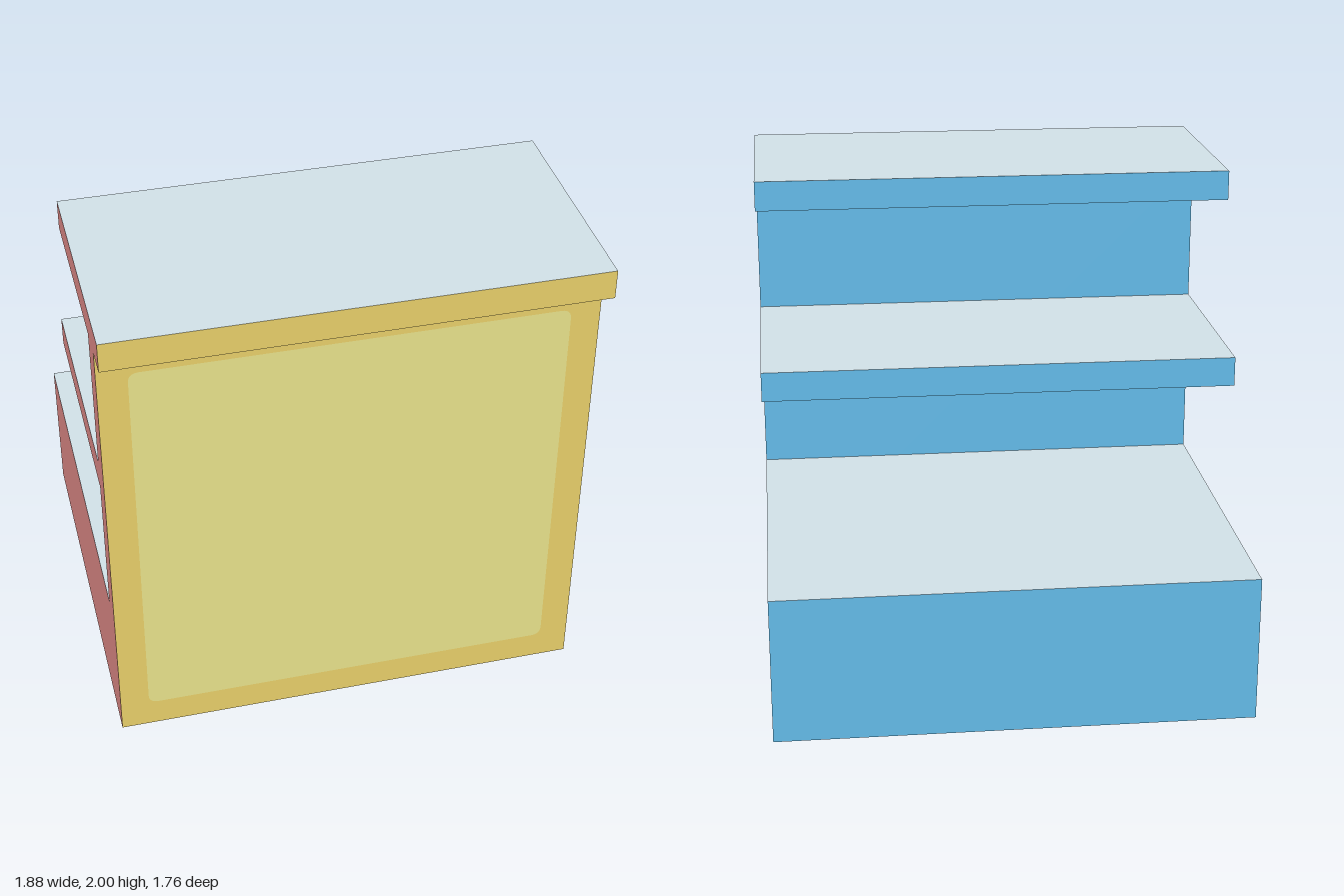
import * as THREE from 'three';

const U = 2 / 17; // the model sits on a grid of 17 units in height

function material(name, color) {
  const m = new THREE.MeshStandardMaterial({ color });
  m.name = name;
  return m;
}

export function createModel() {
  const group = new THREE.Group();
  group.name = 'displayCounter';

  // One colour for each direction a face can point
  const sides = [
    material('leftGreen', 0x5ff498),
    material('rightPink', 0xf49795),
    material('topPaleGrey', 0xd4e4eb),
    material('undersideSlate', 0x616d80),
    material('frontGold', 0xf8dd72),
    material('backBlue', 0x6bc8f9),
  ];
  const paleYellow = material('panelPaleYellow', 0xfff899);

  // Full-width board, given by its height and depth ranges in grid units
  function board(name, y0, y1, z0, z1) {
    const geo = new THREE.BoxGeometry(16 * U, (y1 - y0) * U, (z1 - z0) * U);
    const mesh = new THREE.Mesh(geo, sides);
    mesh.name = name;
    mesh.position.set(0, ((y0 + y1) / 2) * U, ((z0 + z1) / 2) * U);
    group.add(mesh);
  }

  board('counterTop', 16, 17, -0.5, 7.5);
  board('frontBoard', 0, 16, 5.5, 6.5);
  board('middleShelf', 10, 11, -2.5, 5.5);
  board('base', 0, 5, -7.5, 5.5);

  // Pale inset with rounded corners painted on the front board
  const w = 7.03 * U, h = 7.03 * U, r = 0.04;
  const outline = new THREE.Shape();
  outline.moveTo(-w + r, -h);
  outline.lineTo(w - r, -h);
  outline.quadraticCurveTo(w, -h, w, -h + r);
  outline.lineTo(w, h - r);
  outline.quadraticCurveTo(w, h, w - r, h);
  outline.lineTo(-w + r, h);
  outline.quadraticCurveTo(-w, h, -w, h - r);
  outline.lineTo(-w, -h + r);
  outline.quadraticCurveTo(-w, -h, -w + r, -h);
  const panel = new THREE.Mesh(new THREE.ShapeGeometry(outline, 6), paleYellow);
  panel.name = 'frontPanelInset';
  panel.position.set(0, 8.03 * U, 6.5 * U + 0.002);
  group.add(panel);

  return group;
}
